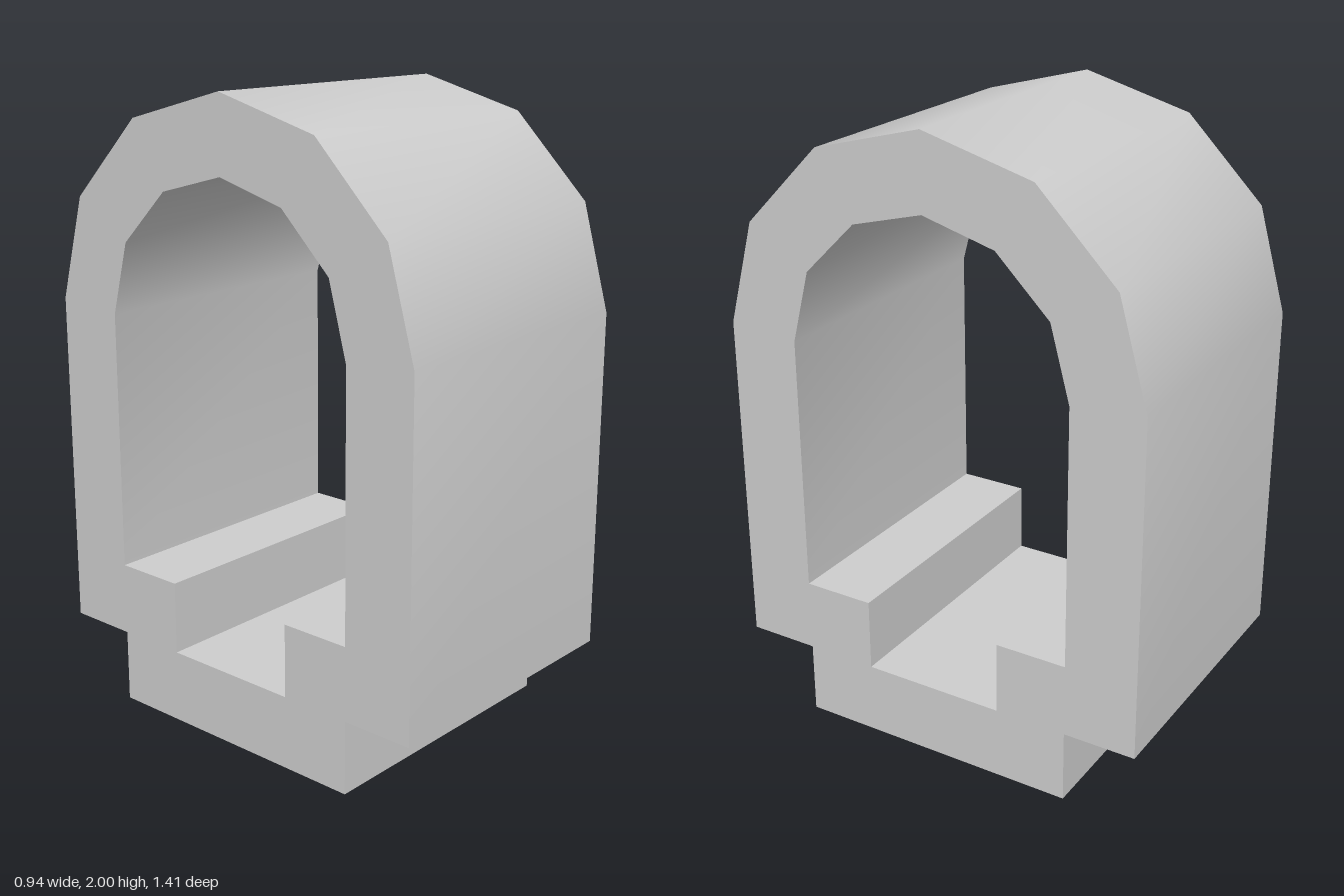
import * as THREE from 'three';
import { toCreasedNormals } from 'three/addons/utils/BufferGeometryUtils.js';

const WIDTH = 0.94;

// Half profiles as [depth, height], from bottom to apex
const OUTER = [[0.47, 0], [0.47, 0.235], [0.705, 0.235], [0.705, 1.32], [0.612, 1.65], [0.357, 1.905], [0, 2]];
const INNER = [[0.235, 0.235], [0.235, 0.47], [0.47, 0.47], [0.47, 1.3], [0.408, 1.53], [0.235, 1.7], [0, 1.763]];

// Mirror a half profile into a closed outline
function mirrored(half) {
  const right = half.map(([x, y]) => new THREE.Vector2(x, y));
  const left = half.slice(0, -1).reverse().map(([x, y]) => new THREE.Vector2(-x, y));
  return [...right, ...left];
}

export function createModel() {
  const group = new THREE.Group();
  group.name = 'archTunnel';

  const grey = new THREE.MeshStandardMaterial({ color: 0xcccccc });
  grey.name = 'grey';

  // Arched wall, ledges and stepped base as one extruded section
  const shape = new THREE.Shape(mirrored(OUTER));
  shape.holes.push(new THREE.Path(mirrored(INNER)));
  const section = new THREE.ExtrudeGeometry(shape, { depth: WIDTH, bevelEnabled: false });
  section.translate(0, 0, -WIDTH / 2);
  section.rotateY(-Math.PI / 2);

  // Smooth over the arch, sharp at the steps and end faces
  const tunnel = new THREE.Mesh(toCreasedNormals(section, 0.7), grey);
  tunnel.name = 'archedShell';
  group.add(tunnel);

  return group;
}
